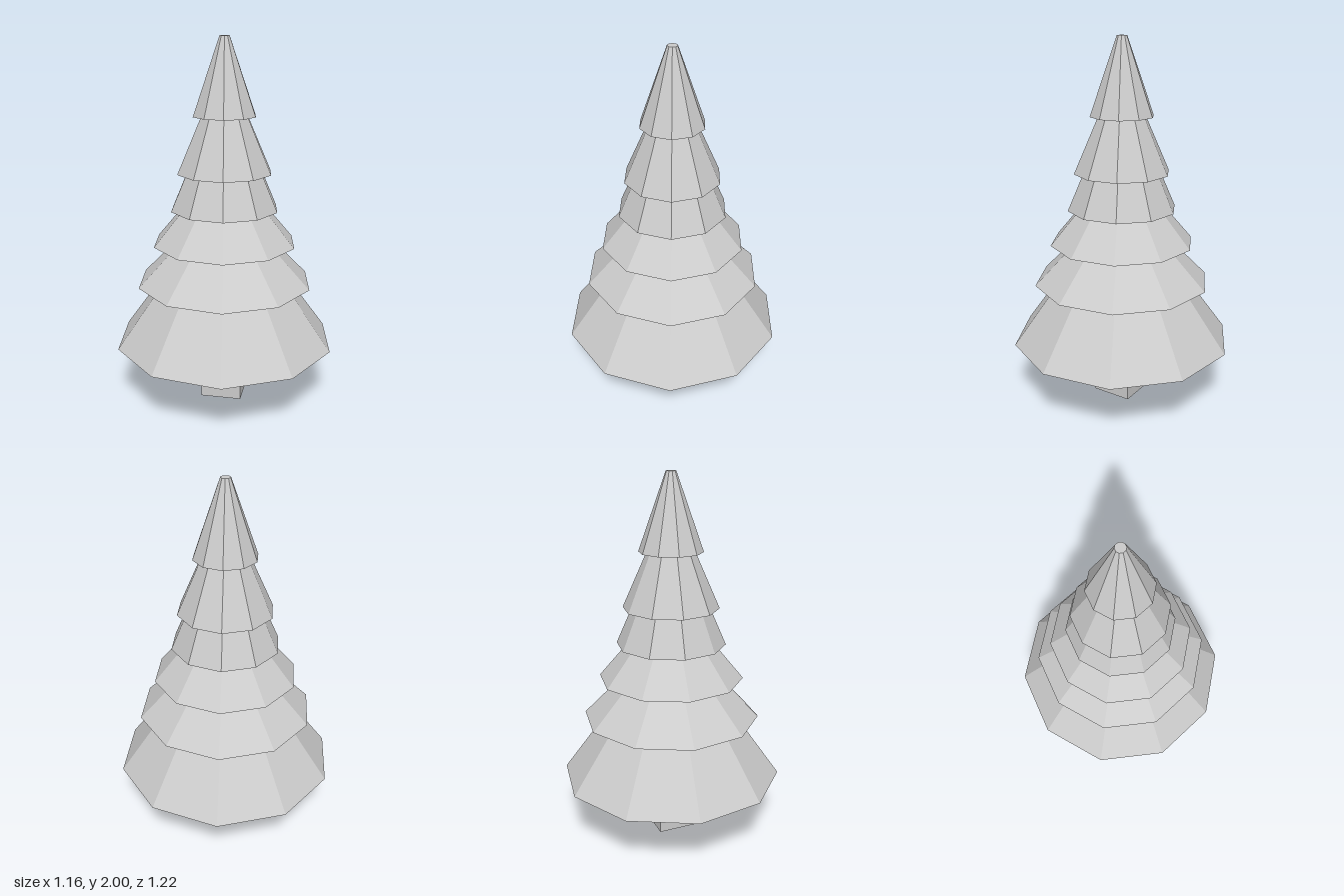
import * as THREE from 'three';

const SIDES = 10;
const RECESS = 0.055; // depth of the hollow under each tier

// Each tier: bottom radius, bottom height, radius and height where the next tier starts
const TIERS = [
  [0.61, 0.33, 0.36, 0.675],
  [0.485, 0.675, 0.265, 0.9],
  [0.395, 0.9, 0.235, 1.09],
  [0.297, 1.09, 0.21, 1.29],
  [0.26, 1.29, 0.128, 1.59],
  [0.172, 1.59, 0.027, 2.0],
];

export function createModel() {
  const tree = new THREE.Group();
  tree.name = 'tree';
  const material = new THREE.MeshStandardMaterial({ color: 0xcccccc, flatShading: true });

  const add = (name, geometry) => {
    const flat = geometry.toNonIndexed();
    flat.computeVertexNormals();
    const mesh = new THREE.Mesh(flat, material);
    mesh.name = name;
    tree.add(mesh);
    return mesh;
  };

  // Square trunk, turned slightly, reaching into the hollow of the lowest tier
  const trunkHeight = 0.42;
  const trunk = add('trunk', new THREE.BoxGeometry(0.224, trunkHeight, 0.224));
  trunk.position.y = trunkHeight / 2;
  trunk.rotation.y = Math.atan2(0.15, 0.05) - Math.PI / 4;

  // Ten-sided branch tiers with hollowed undersides
  TIERS.forEach(([r, y, rTop, yTop], i) => {
    // All but the tip continue along their slope into the tier above
    const extra = i < TIERS.length - 1 ? 0.06 : 0;
    const rEnd = rTop - extra * (r - rTop) / (yTop - y);
    const profile = [
      [0, y + RECESS],
      [r * 0.63, y + RECESS],
      [r, y],
      [rEnd, yTop + extra],
      [0, yTop + extra],
    ].map(([px, py]) => new THREE.Vector2(px, py));
    add(`branchTier${i + 1}`, new THREE.LatheGeometry(profile, SIDES));
  });

  return tree;
}
